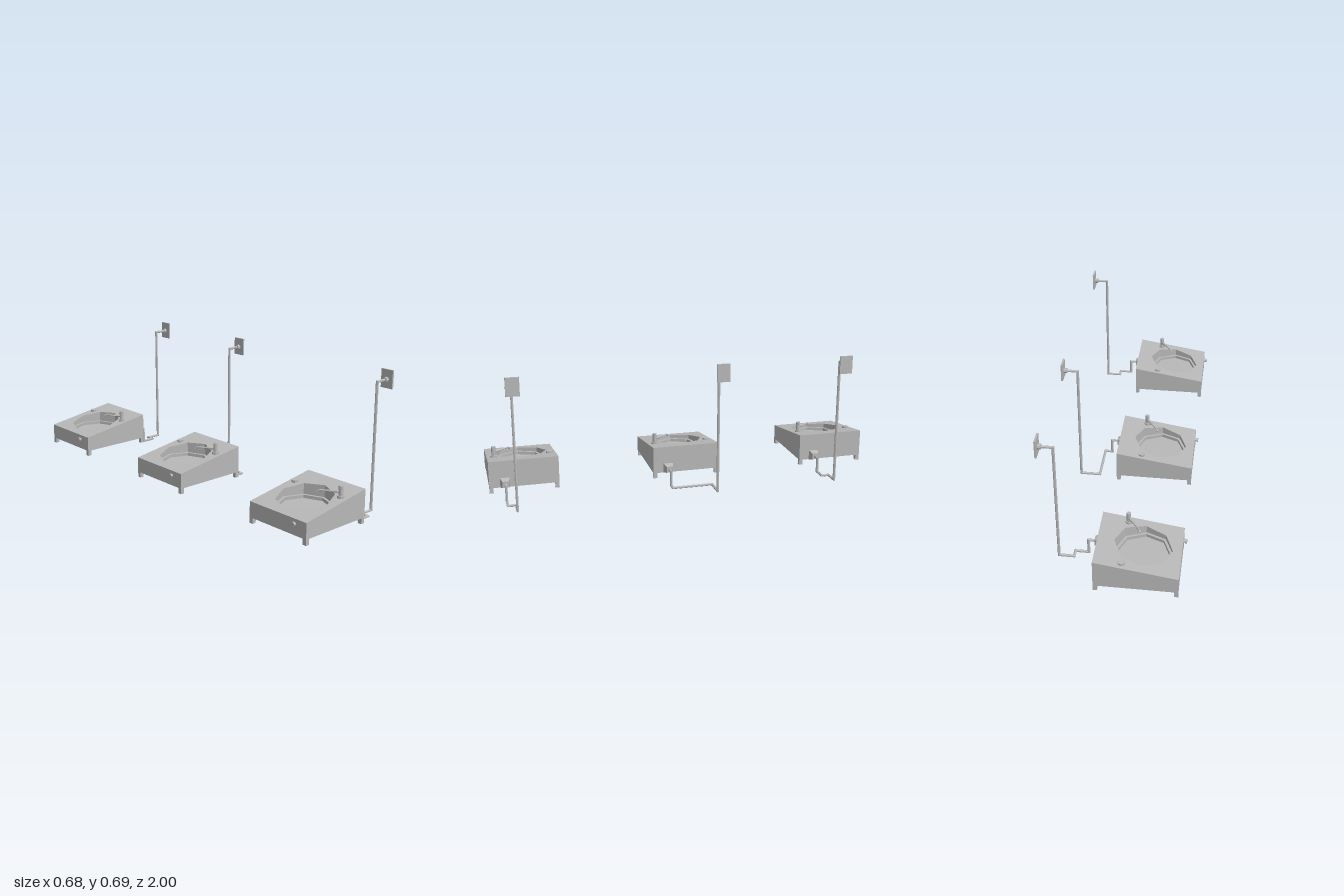
import * as THREE from 'three';

const V = (x, y, z) => new THREE.Vector3(x, y, z);
const grey = new THREE.MeshStandardMaterial({ color: 0xb8b8b8, flatShading: true });
grey.name = 'light grey';

// Body outline and platter recess
const X0 = -0.325, X1 = 0.064, HALF_Z = 0.175, BASE_Y = 0.058;
const PLATTER_X = -0.148, RECESS_R = 0.135, PLATTER_R = 0.122;
const LEDGE_Y = 0.126, FLOOR_Y = 0.11;
const slopeY = x => 0.136 + (x - X0) / (X1 - X0) * 0.061;

function part(parent, name, geometry, x = 0, y = 0, z = 0) {
  const mesh = new THREE.Mesh(geometry, grey);
  mesh.name = name;
  mesh.position.set(x, y, z);
  parent.add(mesh);
  return mesh;
}

// Change the height of every vertex by a rule of its position
function setHeights(geometry, rule) {
  const p = geometry.attributes.position;
  for (let i = 0; i < p.count; i++) p.setY(i, rule(p.getX(i), p.getY(i)));
  geometry.computeVertexNormals();
  return geometry;
}

// Hexagonal cable with mitred corners along a path
function cableGeometry(path, radius, sides = 6) {
  const dirs = path.slice(1).map((p, i) => p.clone().sub(path[i]).normalize());
  let ring = [];
  for (let k = 0; k < sides; k++) {
    const a = k / sides * Math.PI * 2;
    ring.push(path[0].clone().add(V(0, Math.cos(a) * radius, Math.sin(a) * radius)));
  }
  const positions = [], index = [];
  path.forEach((c, i) => {
    if (i > 0) {
      const d = dirs[i - 1];
      const n = d.clone().add(dirs[i] || d);
      ring = ring.map(p => p.clone().addScaledVector(d, c.clone().sub(p).dot(n) / d.dot(n)));
    }
    ring.forEach(p => positions.push(p.x, p.y, p.z));
    if (i === 0) return;
    for (let k = 0; k < sides; k++) {
      const a = (i - 1) * sides + k, b = (i - 1) * sides + (k + 1) % sides;
      index.push(a, b, a + sides, b, b + sides, a + sides);
    }
  });
  const g = new THREE.BufferGeometry();
  g.setAttribute('position', new THREE.Float32BufferAttribute(positions, 3));
  g.setIndex(index);
  g.computeVertexNormals();
  return g;
}

function cylinderX(r0, r1, length, sides) {
  return new THREE.CylinderGeometry(r0, r1, length, sides).rotateZ(-Math.PI / 2);
}

function buildBody(unit) {
  const midX = (X0 + X1) / 2, width = X1 - X0;

  // Sides and underside, without the top face
  const shell = new THREE.BoxGeometry(width, 1, HALF_Z * 2).translate(midX, 0, 0);
  const idx = Array.from(shell.index.array);
  idx.splice(12, 6);
  shell.setIndex(idx);
  shell.clearGroups();
  part(unit, 'bodySides', setHeights(shell, (x, y) => y > 0 ? slopeY(x) : BASE_Y));

  // Sloping top with an octagonal opening
  const top = new THREE.Shape([[X0, -HALF_Z], [X1, -HALF_Z], [X1, HALF_Z], [X0, HALF_Z]]
    .map(p => new THREE.Vector2(...p)));
  const hole = [];
  for (let k = 0; k < 8; k++) {
    const a = k * Math.PI / 4;
    hole.push(new THREE.Vector2(PLATTER_X + Math.sin(a) * RECESS_R, Math.cos(a) * RECESS_R));
  }
  top.holes.push(new THREE.Path(hole));
  const topGeometry = new THREE.ShapeGeometry(top).rotateX(-Math.PI / 2);
  part(unit, 'bodyTop', setHeights(topGeometry, x => slopeY(x)));

  // Stepped recess that holds the platter
  const profile = [[RECESS_R, 1], [RECESS_R, LEDGE_Y], [PLATTER_R, LEDGE_Y],
    [PLATTER_R, FLOOR_Y], [0, FLOOR_Y]].map(p => new THREE.Vector2(...p));
  const recess = new THREE.LatheGeometry(profile, 8).translate(PLATTER_X, 0, 0);
  part(unit, 'platterRecess', setHeights(recess, (x, y) => y > 0.9 ? slopeY(x) : y));

  // Feet
  for (const x of [X0 + 0.01, X1 - 0.01])
    for (const side of [-1, 1])
      part(unit, 'foot', new THREE.BoxGeometry(0.02, 0.03, 0.02), x, 0.045, side * (HALF_Z - 0.01));
}

function buildControls(unit) {
  // Start button at the back and tone arm base at the front
  const px = -0.063, pz = 0.138;
  part(unit, 'topButton', new THREE.CylinderGeometry(0.017, 0.017, 0.025, 8), px, 0.1745, -0.143);
  part(unit, 'armBase', new THREE.CylinderGeometry(0.017, 0.017, 0.025, 8), px, 0.1745, pz);
  part(unit, 'armPost', new THREE.CylinderGeometry(0.011, 0.011, 0.055, 8), px, 0.2055, pz);

  // Tone arm reaching over the platter
  const arm = new THREE.Group();
  arm.name = 'toneArm';
  arm.position.set(px, 0.205, pz);
  arm.rotation.y = Math.atan2(-0.083, 0.06) + Math.PI;
  arm.rotation.y = Math.atan2(0.083, -0.06);
  unit.add(arm);
  part(arm, 'armCollar', cylinderX(0.007, 0.007, 0.045, 8), 0.0225, 0, 0);
  part(arm, 'armTube', cableGeometry([V(0.04, 0, 0), V(0.095, 0, 0), V(0.106, -0.009, 0)], 0.004));
  const tip = part(arm, 'armHead', cylinderX(0.004, 0.004, 0.004, 6), 0.105, -0.008, 0);
  tip.rotation.z = -0.69;

  // Knob on the low end
  part(unit, 'knobStem', cylinderX(0.006, 0.006, 0.01, 8), X0 - 0.004, 0.114, 0.108);
  part(unit, 'knob', cylinderX(0.011, 0.011, 0.009, 8), X0 - 0.0125, 0.114, 0.108);
}

// Cable from the body, along the ground and up to the wall plate
function buildCable(unit, runX, poleZ) {
  const z = 0.096;
  const socket = new THREE.CylinderGeometry(0.016 * Math.SQRT2, 0.025 * Math.SQRT2, 0.03, 4)
    .rotateY(Math.PI / 4).rotateZ(-Math.PI / 2);
  part(unit, 'cableSocket', socket, X1 + 0.015, 0.082, z);
  const path = [V(0.092, 0.082, z), V(0.125, 0.082, z), V(0.125, 0.007, z), V(runX, 0.007, z),
    V(runX, 0.007, poleZ), V(0.262, 0.007, poleZ), V(0.262, 0.642, poleZ), V(0.318, 0.642, poleZ)];
  part(unit, 'cable', cableGeometry(path, 0.007));
  part(unit, 'plug', cylinderX(0.013, 0.013, 0.018, 8), 0.323, 0.642, poleZ);
  part(unit, 'wallPlate', new THREE.BoxGeometry(0.009, 0.09, 0.066), 0.3355, 0.645, poleZ);
}

export function createModel() {
  const model = new THREE.Group();
  model.name = 'recordPlayers';
  // Each unit: centre z, x of the sideways cable run, z offset of the pole
  for (const [z, runX, poleZ] of [[-0.825, 0.19, 0.058], [-0.015, 0.163, -0.113], [0.825, 0.19, 0.056]]) {
    const unit = new THREE.Group();
    unit.name = 'recordPlayer';
    unit.position.z = z;
    buildBody(unit);
    buildControls(unit);
    buildCable(unit, runX, poleZ);
    model.add(unit);
  }
  return model;
}
